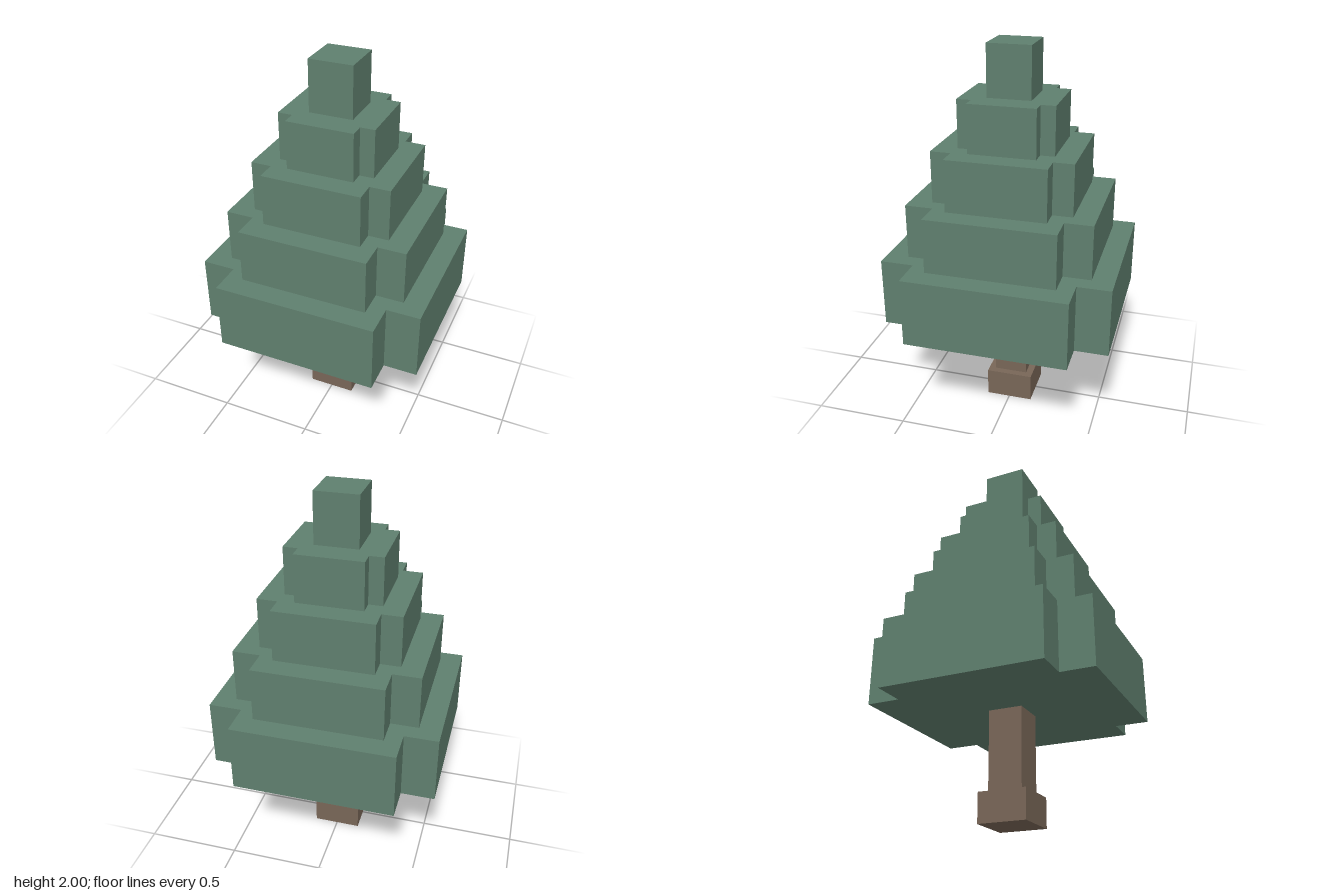
import * as THREE from 'three';

// Plus-shaped outline: a square of half-size `outer` with its corners notched in to `inner`
function crossShape(outer, inner) {
  const corners = [];
  for (let i = 0; i < 4; i++) {
    const c = Math.round(Math.cos(i * Math.PI / 2));
    const s = Math.round(Math.sin(i * Math.PI / 2));
    for (const [x, y] of [[outer, -inner], [outer, inner], [inner, inner]]) {
      corners.push(new THREE.Vector2(x * c - y * s, x * s + y * c));
    }
  }
  return new THREE.Shape(corners);
}

export function createModel() {
  const model = new THREE.Group();
  model.name = 'blockyPineTree';

  const foliage = new THREE.MeshStandardMaterial({ color: 0x5f7f6e });
  foliage.name = 'foliageGreen';
  const bark = new THREE.MeshStandardMaterial({ color: 0x786657 });
  bark.name = 'barkBrown';

  function add(name, geometry, material, y) {
    const mesh = new THREE.Mesh(geometry, material);
    mesh.name = name;
    mesh.position.y = y;
    model.add(mesh);
  }

  function addBlock(name, half, bottom, top, material) {
    const geometry = new THREE.BoxGeometry(half * 2, top - bottom, half * 2);
    add(name, geometry, material, (bottom + top) / 2);
  }

  // Trunk and its wider foot
  addBlock('trunkBase', 0.126, 0, 0.153, bark);
  addBlock('trunk', 0.089, 0.153, 0.571, bark);

  // Notched foliage tiers: outer half-size, inner half-size, bottom, top
  const tiers = [
    [0.593, 0.42, 0.571, 0.931],
    [0.479, 0.334, 0.931, 1.217],
    [0.363, 0.257, 1.217, 1.487],
    [0.248, 0.173, 1.487, 1.736],
  ];
  tiers.forEach(([outer, inner, bottom, top], i) => {
    const geometry = new THREE.ExtrudeGeometry(crossShape(outer, inner), {
      depth: top - bottom,
      bevelEnabled: false,
    });
    geometry.rotateX(-Math.PI / 2);
    add(`foliageTier${i + 1}`, geometry, foliage, bottom);
  });

  // Square treetop
  addBlock('treetop', 0.113, 1.736, 2, foliage);

  return model;
}
